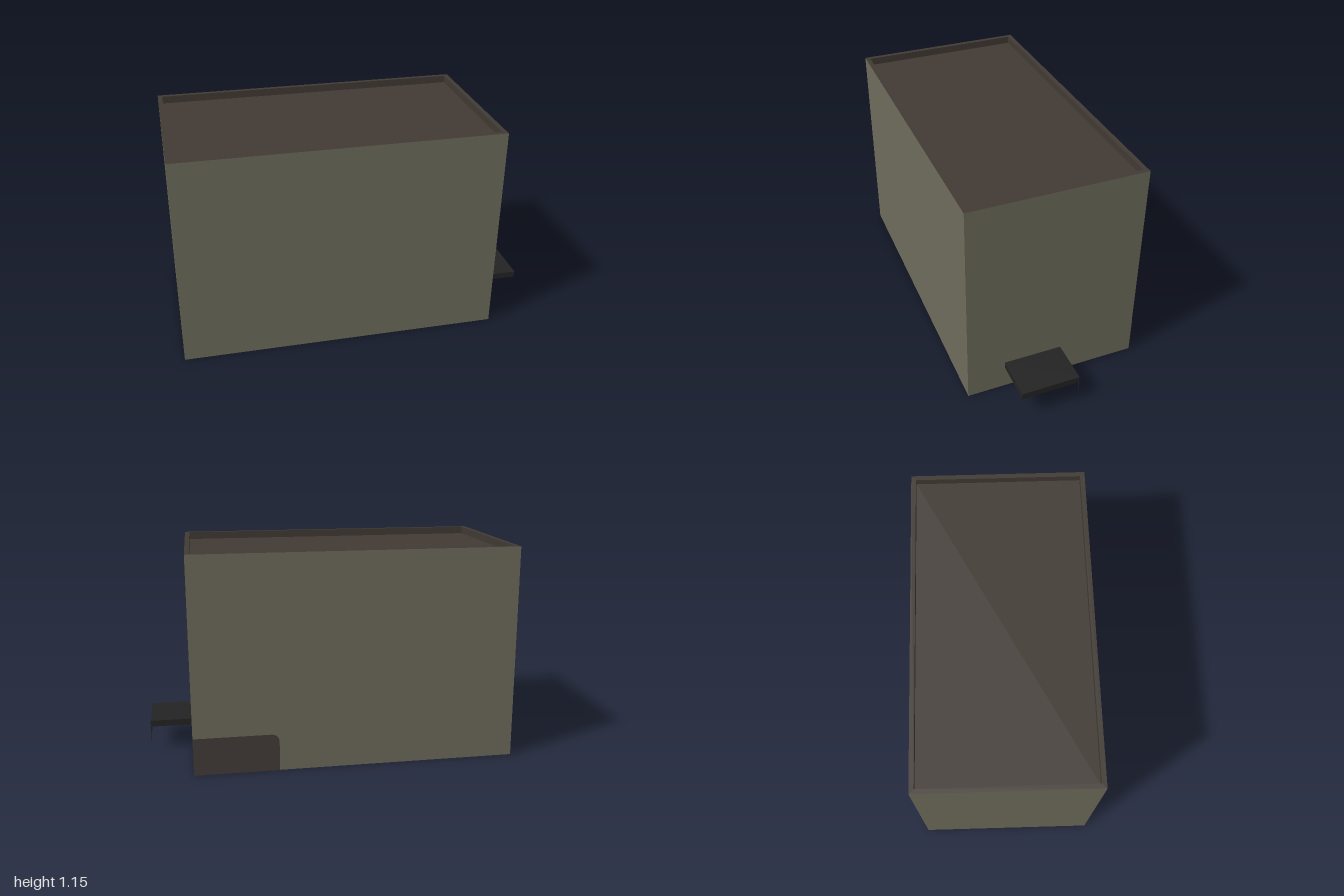
import * as THREE from 'three';

const mat = (name, color, side = THREE.FrontSide) => {
  const m = new THREE.MeshStandardMaterial({ color, side });
  m.name = name;
  return m;
};

export function createModel() {
  const wallPaint = mat('olive wall', 0x6e6c5b, THREE.DoubleSide);
  const roofPaint = mat('brown roof', 0x413a34, THREE.DoubleSide);
  const patchPaint = mat('dark brown patch', 0x443c38, THREE.DoubleSide);
  const canopyPaint = mat('black canopy', 0x232323, THREE.DoubleSide);

  const L = 1.72, W = 0.934, H = 1.15; // building size
  const rim = 0.025, roofY = 1.11;

  const building = new THREE.Group();
  building.name = 'building';
  const add = (name, geometry, material, x = 0, y = 0, z = 0) => {
    const mesh = new THREE.Mesh(geometry, material);
    mesh.name = name;
    mesh.position.set(x, y, z);
    building.add(mesh);
    return mesh;
  };

  // Ring of four upright panels, open above and below
  const addRing = (name, length, width, y0, y1, material, inward) => {
    for (let i = 0; i < 4; i++) {
      const a = (i * Math.PI) / 2;
      const long = i % 2 === 0;
      const dist = (long ? width : length) / 2;
      const panel = add(name, new THREE.PlaneGeometry(long ? length : width, y1 - y0), material,
        Math.sin(a) * dist, (y0 + y1) / 2, Math.cos(a) * dist);
      panel.rotation.y = a + (inward ? Math.PI : 0);
    }
  };
  addRing('wall', L, W, 0, H, wallPaint, false);
  addRing('parapetInside', L - 2 * rim, W - 2 * rim, roofY, H, roofPaint, true);

  // Flat top of the parapet
  const rectangle = (Type, l, w) => new Type([
    new THREE.Vector2(-l / 2, -w / 2), new THREE.Vector2(l / 2, -w / 2),
    new THREE.Vector2(l / 2, w / 2), new THREE.Vector2(-l / 2, w / 2),
  ]);
  const rimShape = rectangle(THREE.Shape, L, W);
  rimShape.holes.push(rectangle(THREE.Path, L - 2 * rim, W - 2 * rim));
  add('parapetTop', new THREE.ShapeGeometry(rimShape).rotateX(-Math.PI / 2), roofPaint, 0, H, 0);

  // Sunken roof
  add('roof', new THREE.PlaneGeometry(L - 2 * rim, W - 2 * rim).rotateX(-Math.PI / 2), roofPaint, 0, roofY, 0);

  // Patch low on the back wall with one rounded corner
  const pw = 0.447, ph = 0.2, r = 0.045;
  const patch = new THREE.Shape();
  patch.moveTo(0, 0);
  patch.lineTo(pw, 0);
  patch.lineTo(pw, ph - r);
  patch.quadraticCurveTo(pw, ph, pw - r, ph);
  patch.lineTo(0, ph);
  add('backPatch', new THREE.ShapeGeometry(patch).rotateY(Math.PI), patchPaint, L / 2, 0, -W / 2 - 0.002);

  // Small canopy on the end wall
  add('canopy', new THREE.BoxGeometry(0.23, 0.034, 0.311), canopyPaint, L / 2 + 0.115, 0.147, 0.11);

  // Thin tapering spike under the canopy's outer corner
  const spike = new THREE.Shape();
  spike.moveTo(0, 0);
  spike.lineTo(-0.008, 0);
  spike.lineTo(0, -0.085);
  add('canopySpike', new THREE.ExtrudeGeometry(spike, { depth: 0.003, bevelEnabled: false }),
    canopyPaint, L / 2 + 0.23, 0.13, -0.045);

  // The building stands turned on its plot
  building.rotation.y = -0.4026;
  building.position.x = -0.025;

  const model = new THREE.Group();
  model.name = 'model';
  model.add(building);
  return model;
}
